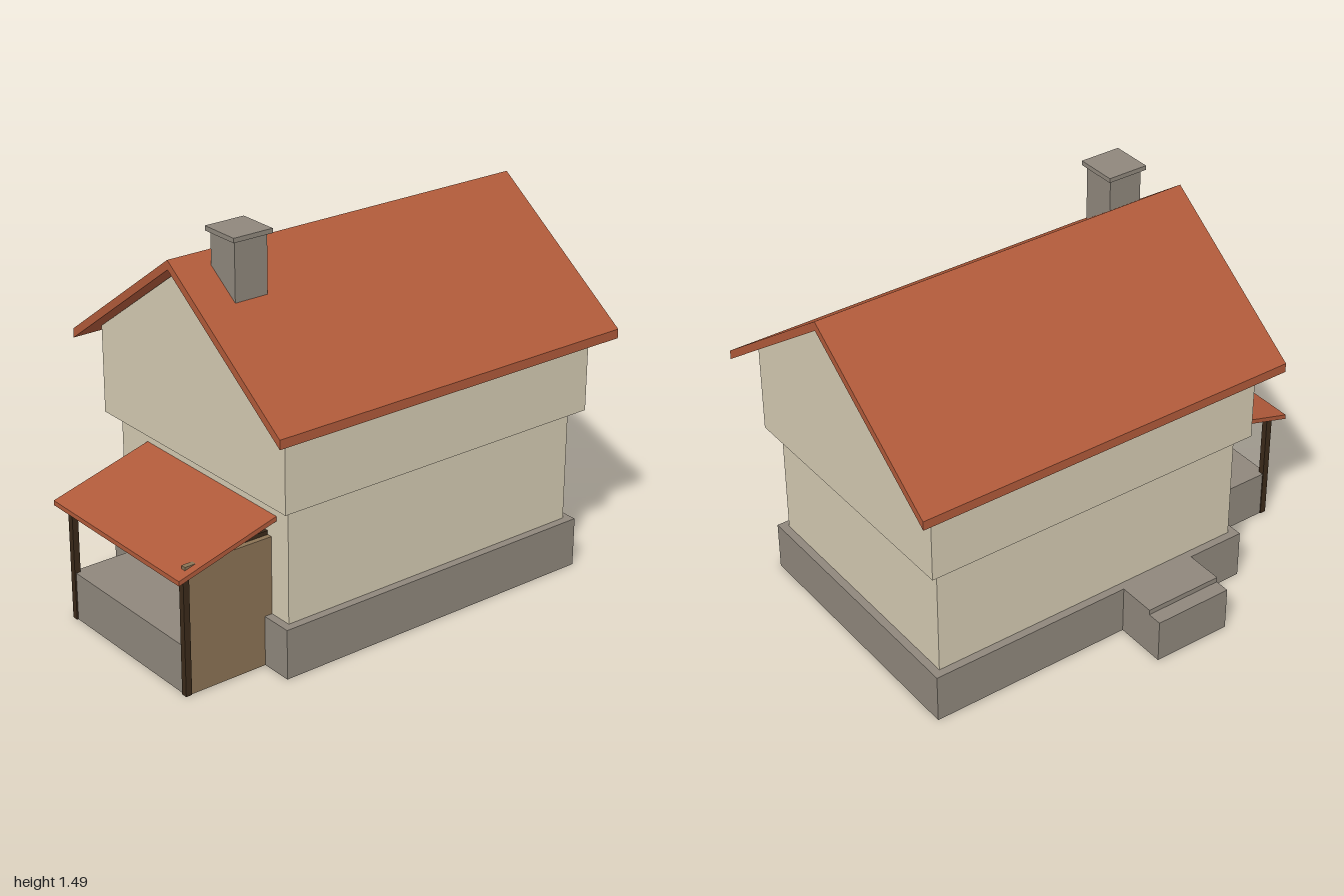
import * as THREE from 'three';

export function createModel() {
  const mat = (name, color, side = THREE.FrontSide) => {
    const m = new THREE.MeshStandardMaterial({ color, side });
    m.name = name;
    return m;
  };
  const plaster = mat('plaster', 0xd4cab2);
  const stone = mat('stone', 0x8f877c, THREE.DoubleSide);
  const tile = mat('roofTile', 0xb05a3a);
  const plank = mat('plank', 0x8b7355);
  const darkWood = mat('darkWood', 0x3b2a1a);

  // The house stands turned on its plot
  const house = new THREE.Group();
  house.name = 'house';
  house.position.set(0.1125, 0, 0.0163);
  house.rotation.y = -0.248;

  const add = (name, geometry, material) => {
    const mesh = new THREE.Mesh(geometry, material);
    mesh.name = name;
    house.add(mesh);
    return mesh;
  };

  // Box given by its limits; open leaves out the underside
  const box = (name, material, [x0, x1], [y0, y1], [z0, z1], open = false) => {
    const g = new THREE.BoxGeometry(x1 - x0, y1 - y0, z1 - z0);
    if (open) {
      const index = Array.from(g.index.array);
      index.splice(18, 6);
      g.setIndex(index);
      g.clearGroups();
    }
    g.translate((x0 + x1) / 2, (y0 + y1) / 2, (z0 + z1) / 2);
    return add(name, g, material);
  };

  // Outline pushed out to a centred prism along z
  const prism = (points, depth) => {
    const shape = new THREE.Shape(points.map(([x, y]) => new THREE.Vector2(x, y)));
    return new THREE.ExtrudeGeometry(shape, { depth, bevelEnabled: false }).translate(0, 0, -depth / 2);
  };

  // Hollow stone plinth and ground floor
  box('plinth', stone, [-0.671, 0.671], [0, 0.19], [-0.522, 0.522], true);
  box('groundFloor', plaster, [-0.64, 0.64], [0.19, 0.635], [-0.491, 0.491]);

  // Overhanging upper floor with gables
  const half = 0.534;
  const upper = prism([[-half, 0.63], [half, 0.63], [half, 0.965], [0, 1.347], [-half, 0.965]], 1.368);
  add('upperFloor', upper.rotateY(Math.PI / 2), plaster);

  // Main gable roof
  const roof = prism([
    [-0.605, 0.915], [0, 1.35], [0.605, 0.915],
    [0.605, 0.95], [0, 1.385], [-0.605, 0.95],
  ], 1.517);
  add('mainRoof', roof.rotateY(Math.PI / 2), tile);

  // Chimney with cap
  box('chimney', stone, [-0.617, -0.483], [1.2, 1.47], [0.05, 0.183]);
  box('chimneyCap', stone, [-0.63, -0.47], [1.47, 1.487], [0.037, 0.197]);

  // Back steps
  box('lowerStep', stone, [-0.44, -0.131], [0, 0.17], [-0.725, -0.52], true);
  box('upperStep', stone, [-0.44, -0.131], [0.17, 0.19], [-0.668, -0.52], true);

  // Side porch: deck, wind wall, door, posts and lean-to roof
  box('porchDeck', stone, [-1.0, -0.66], [0, 0.185], [-0.29, 0.39], true);
  box('porchWall', plank, [-0.995, -0.635], [0, 0.485], [0.378, 0.398]);
  box('porchDoor', darkWood, [-0.74, -0.63], [0.17, 0.5], [0.126, 0.378]);
  for (const z of [-0.282, 0.39]) {
    box('porchPost', darkWood, [-1.006, -0.982], [0, 0.46], [z - 0.012, z + 0.012]);
  }
  const lean = prism([[-1.04, 0.442], [-0.63, 0.557], [-0.63, 0.575], [-1.04, 0.46]], 0.758);
  add('porchRoof', lean.translate(0, 0, 0.048), tile);

  const model = new THREE.Group();
  model.name = 'cottage';
  model.add(house);
  return model;
}
